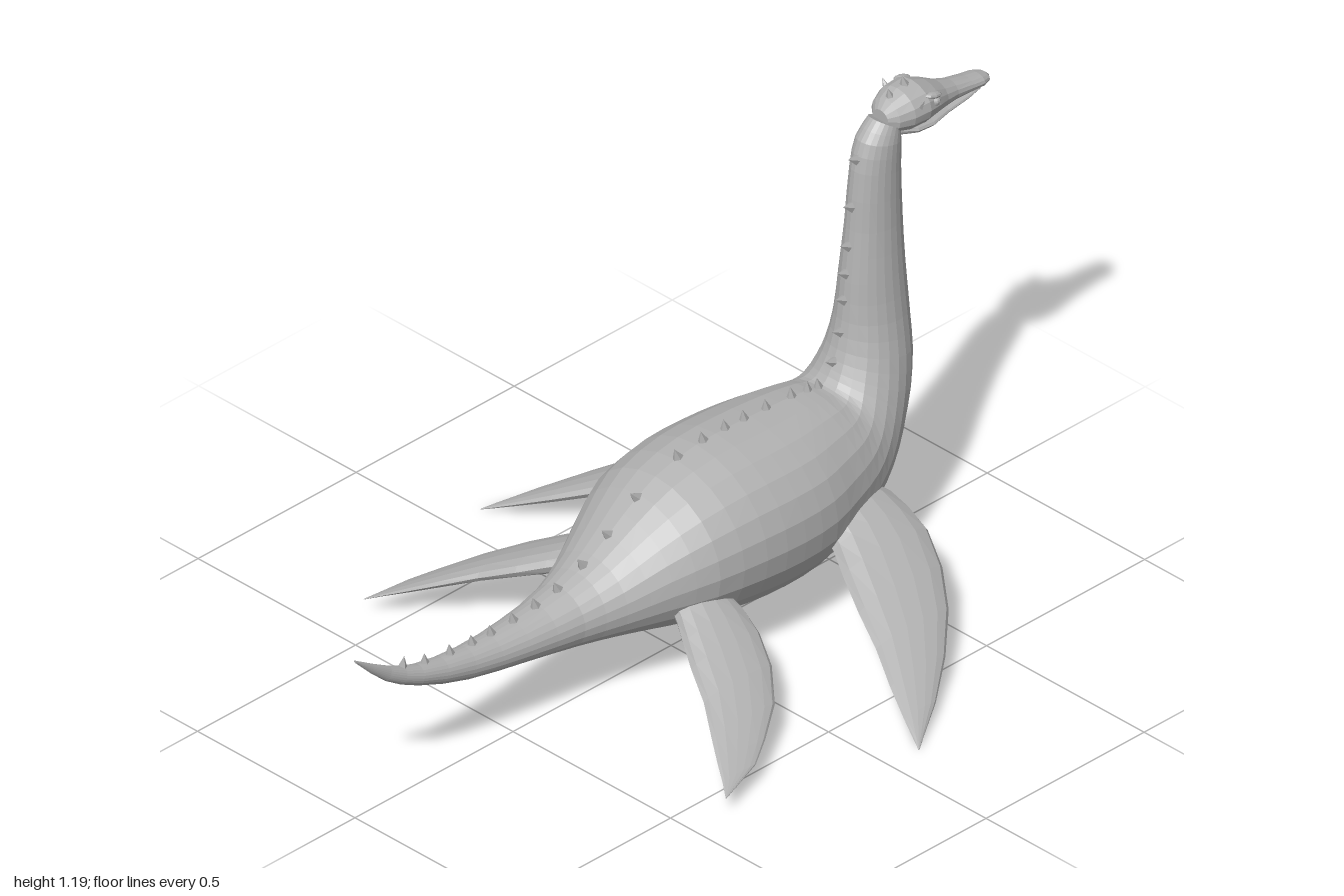
import * as THREE from 'three';

const skin = new THREE.MeshStandardMaterial({ color: 0xb2b2b2, flatShading: true });
skin.name = 'grey skin';

// Skin a list of equal rings of points into a closed solid facing outwards
function loft(rings) {
  const n = rings[0].length, pos = [], idx = [];
  rings.forEach(r => r.forEach(p => pos.push(p.x, p.y, p.z)));
  const capStart = pos.length / 3;
  [rings[0], rings[rings.length - 1]].forEach(r => {
    const c = new THREE.Vector3();
    r.forEach(p => c.addScaledVector(p, 1 / n));
    pos.push(c.x, c.y, c.z);
  });
  const last = (rings.length - 1) * n;
  for (let j = 0; j < n; j++) {
    const k = (j + 1) % n;
    for (let i = 0; i < rings.length - 1; i++) {
      const a = i * n + j, b = i * n + k;
      idx.push(a, b, a + n, b, b + n, a + n);
    }
    idx.push(capStart, k, j, capStart + 1, last + j, last + k);
  }
  // Signed volume tells whether the winding must be reversed
  const v = i => new THREE.Vector3().fromArray(pos, i * 3);
  let volume = 0;
  for (let i = 0; i < idx.length; i += 3) volume += v(idx[i]).dot(v(idx[i + 1]).cross(v(idx[i + 2])));
  if (volume < 0) idx.reverse();
  const g = new THREE.BufferGeometry();
  g.setAttribute('position', new THREE.Float32BufferAttribute(pos, 3));
  g.setIndex(idx);
  g.computeVertexNormals();
  return g;
}

// Ellipse ring around centre c with half axes u and w
function ring(c, u, w, sides) {
  return Array.from({ length: sides }, (_, i) => {
    const a = (i / sides) * Math.PI * 2;
    return c.clone().addScaledVector(u, Math.cos(a)).addScaledVector(w, Math.sin(a));
  });
}

const V = (x, y, z = 0) => new THREE.Vector3(x, y, z);

// Body sections: back x, back y, belly x, belly y, half width
const SECTIONS = [
  [-1, .42, -1, .414, .003], [-.89, .355, -.905, .322, .012], [-.8, .318, -.81, .268, .025],
  [-.65, .295, -.66, .217, .04], [-.5, .295, -.5, .19, .06], [-.35, .315, -.36, .168, .085],
  [-.25, .355, -.26, .152, .12], [-.15, .42, -.16, .133, .165], [-.05, .475, -.05, .11, .208],
  [.08, .5, .08, .09, .228], [.2, .5, .2, .08, .23], [.3, .495, .32, .083, .22],
  [.38, .49, .43, .105, .195], [.44, .482, .53, .145, .172], [.47, .475, .61, .21, .15],
  [.487, .48, .67, .3, .13], [.505, .505, .71, .4, .112], [.525, .55, .728, .5, .095],
  [.54, .62, .728, .6, .078], [.55, .72, .72, .72, .066], [.565, .85, .715, .84, .056],
  [.58, 1, .712, .97, .05], [.6, 1.07, .712, 1.045, .047], [.64, 1.113, .71, 1.072, .038],
];

function bodyGeometry() {
  const curve = f => new THREE.CatmullRomCurve3(SECTIONS.map(f));
  const back = curve(s => V(s[0], s[1], s[4])), belly = curve(s => V(s[2], s[3], s[4]));
  const steps = (SECTIONS.length - 1) * 2;
  const rings = [];
  for (let i = 0; i <= steps; i++) {
    const a = back.getPoint(i / steps), b = belly.getPoint(i / steps), w = a.z;
    a.z = b.z = 0;
    rings.push(ring(a.clone().add(b).multiplyScalar(.5), a.clone().sub(b).multiplyScalar(.5), V(0, 0, w), 24));
  }
  return loft(rings);
}

// Sections along x: x, centre y, half height, half width
const alongX = rows => loft(rows.map(([x, y, h, w]) => ring(V(x, y), V(0, h), V(0, 0, w), 16)));

// Flipper sections: distance out, trailing x, leading x
function flipperGeometry(rows, side, rootY, slope, thick) {
  const z0 = rows[0][0], span = rows[rows.length - 1][0] - z0;
  return loft(rows.map(([z, back, front]) => {
    const t = (z - z0) / span;
    const h = thick * (1 - t) ** .8 + .001;
    return ring(V((back + front) / 2, rootY - slope * (z - z0), z * side),
      V((front - back) / 2, 0), V(0, h, h * .4 * side), 14);
  }));
}

const FRONT_FLIPPER = [[.13, .33, .52], [.16, .32, .538], [.21, .305, .546], [.27, .275, .543], [.36, .235, .5],
  [.45, .2, .43], [.54, .155, .33], [.62, .12, .22], [.67, .1, .135], [.695, .09, .094]];
const REAR_FLIPPER = [[.13, -.13, 0], [.17, -.15, .01], [.22, -.18, .012], [.28, -.215, 0], [.36, -.255, -.04],
  [.44, -.31, -.11], [.5, -.35, -.2], [.54, -.375, -.27], [.575, -.4, -.395]];

export function createModel() {
  const model = new THREE.Group();
  model.name = 'longNeckedSeaReptile';
  const add = (name, geometry, parent = model) => {
    const m = new THREE.Mesh(geometry, skin);
    m.name = name;
    parent.add(m);
    return m;
  };

  add('bodyTailAndNeck', bodyGeometry());

  // Head with a long snout and a separate lower jaw
  const head = new THREE.Group();
  head.name = 'head';
  model.add(head);
  add('skullAndSnout', alongX([[.662, 1.105, .022, .025], [.68, 1.106, .042, .046], [.715, 1.109, .053, .061],
    [.76, 1.11, .054, .065], [.8, 1.103, .044, .055], [.84, 1.091, .034, .039], [.88, 1.084, .026, .031],
    [.93, 1.077, .02, .03], [.965, 1.073, .017, .03], [.988, 1.07, .012, .021], [1, 1.068, .003, .006]]), head);
  add('lowerJaw', alongX([[.7, 1.066, .018, .03], [.74, 1.057, .016, .046], [.79, 1.051, .013, .045],
    [.85, 1.051, .011, .031], [.92, 1.055, .009, .026], [.96, 1.059, .007, .02], [.975, 1.061, .002, .006]]), head);

  // Eyes, brow ridges and small horns
  for (const side of [1, -1]) {
    const eye = add('eye', new THREE.SphereGeometry(.012, 10, 8), head);
    eye.position.set(.785, 1.12, side * .052);
    const brow = add('browRidge', new THREE.SphereGeometry(1, 8, 6), head);
    brow.scale.set(.026, .008, .012);
    brow.position.set(.78, 1.136, side * .05);
    brow.rotation.z = -.25;
    const horn = add('sideHorn', new THREE.ConeGeometry(.01, .03, 5), head);
    horn.position.set(.735, 1.138, side * .06);
    horn.rotation.x = side * .6;
  }
  for (const [x, y] of [[.69, 1.158], [.735, 1.172]]) {
    const horn = add('crownHorn', new THREE.ConeGeometry(.013, .03, 5), head);
    horn.position.set(x, y, 0);
    horn.rotation.z = .25;
  }

  // Row of spines: x, y and backward lean
  const back = new THREE.CatmullRomCurve3(SECTIONS.map(s => V(s[0], s[1]))).getPoints(300);
  const heightAt = x => back.find(p => p.x >= x).y;
  const spines = [-.85, -.78, -.7, -.63, -.57, -.5, -.43, -.36, -.28, -.2, -.11, .02, .1, .17, .23, .3, .38, .43, .465]
    .map(x => [x, heightAt(x), Math.atan2(heightAt(x + .02) - heightAt(x - .02), .04) + .2]);
  [.52, .59, .67, .74, .81, .91, 1.03].forEach(y => {
    const p = back.find(q => q.x > .47 && q.y >= y);
    spines.push([p.x, p.y, 1.2]);
  });
  for (const [x, y, lean] of spines) {
    const spine = add('backSpine', new THREE.ConeGeometry(.017, .036, 5));
    spine.position.set(x - Math.sin(lean) * .01, y + Math.cos(lean) * .01, 0);
    spine.rotation.z = lean;
    spine.scale.z = .7;
  }

  // Swept flippers, front pair larger
  for (const [side, name] of [[1, 'near'], [-1, 'far']]) {
    add(name + 'FrontFlipper', flipperGeometry(FRONT_FLIPPER, side, .242, .428, .045));
    add(name + 'RearFlipper', flipperGeometry(REAR_FLIPPER, side, .225, .415, .036));
  }
  return model;
}
